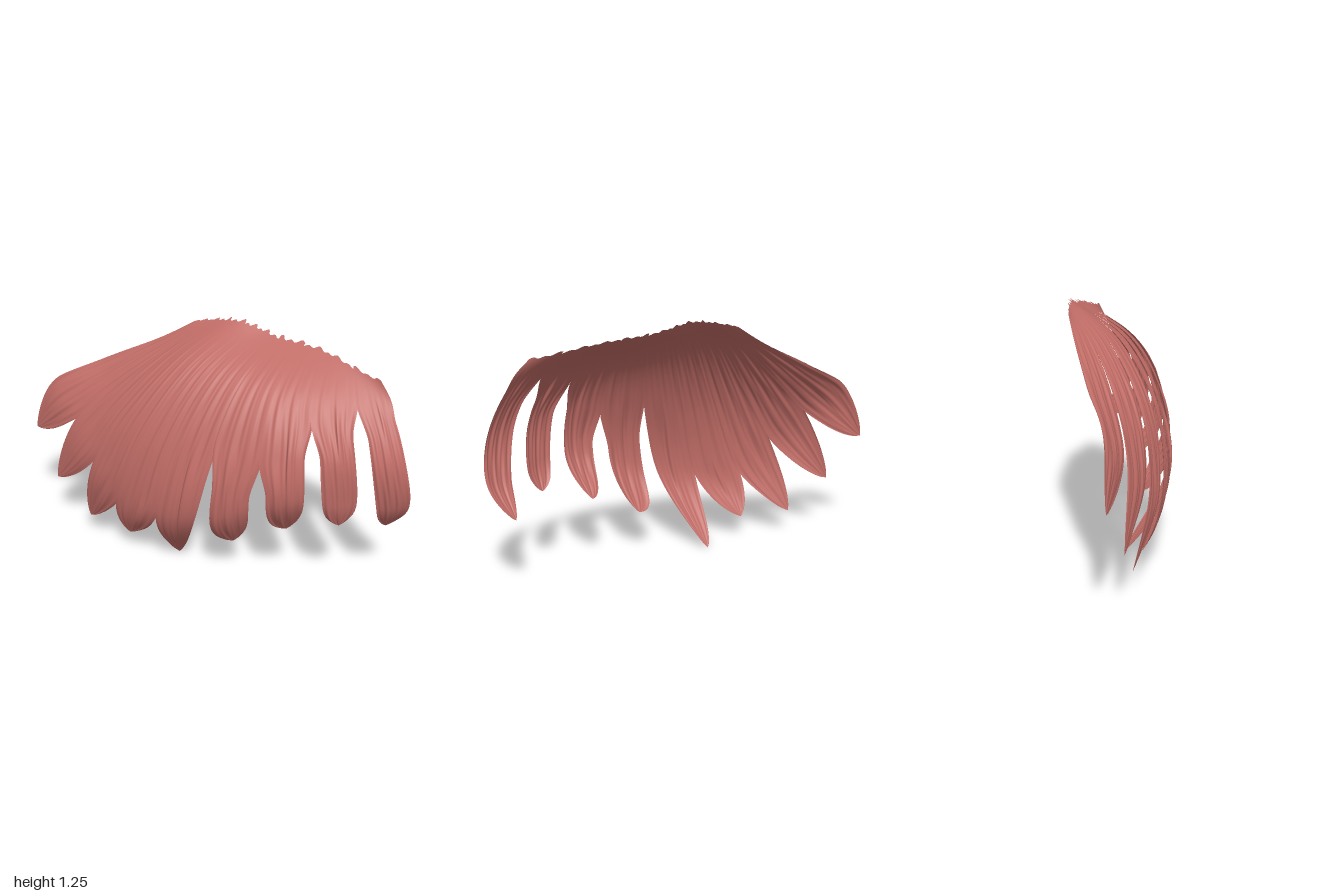
import * as THREE from 'three';

const { lerp, smoothstep } = THREE.MathUtils;
const V = (x, y, z) => new THREE.Vector3(x, y, z);
const smoothCurve = (points) => new THREE.CatmullRomCurve3(points, false, 'catmullrom', 0.5);

// Rails run from the front feather to the rear one, at even steps down the fan
const ridge = smoothCurve([V(0.275, 1.13, 0.71), V(0.3, 1.185, 0.43), V(0.265, 1.215, 0.2), V(0.235, 1.255, 0.03), V(0.19, 1.225, -0.14)]);
const shoulder = smoothCurve([V(0.19, 0.96, 0.84), V(0.03, 1.02, 0.47), V(-0.04, 1.04, 0.14), V(-0.04, 1.07, -0.12), V(0.06, 1.085, -0.33)]);
const middle = smoothCurve([V(0.145, 0.75, 0.93), V(-0.1, 0.8, 0.53), V(-0.22, 0.73, 0.08), V(-0.23, 0.78, -0.27), V(-0.07, 0.92, -0.56)]);
const lower = smoothCurve([V(0.19, 0.53, 0.945), V(-0.12, 0.56, 0.545), V(-0.27, 0.35, 0.02), V(-0.295, 0.45, -0.42), V(-0.18, 0.75, -0.78)]);
const tips = smoothCurve([
  V(0.275, 0.36, 0.88), V(0.055, 0.42, 0.74), V(-0.01, 0.34, 0.49),
  V(-0.1, 0.22, 0.24), V(-0.08, 0, -0.12), V(-0.22, 0.11, -0.34),
  V(-0.23, 0.12, -0.61), V(-0.24, 0.29, -0.83), V(-0.2, 0.53, -1),
]);
const RAILS = [ridge, shoulder, middle, lower, tips];

// How far down the notch lies on each side of the feathers, front to rear
const NOTCHES = [0.1, 0.22, 0.36, 0.55, 0.48, 0.72, 0.78, 0.69, 0.69, 0.72];
const LAST = NOTCHES.length - 2;

// Point on a rail; beyond either end it continues by reflection
function railPoint(rail, u) {
  const end = u < 0 ? 0 : LAST;
  if (u >= 0 && u <= LAST) return rail.getPoint(u / LAST);
  return rail.getPoint(end / LAST).multiplyScalar(2).sub(rail.getPoint((2 * end - u) / LAST));
}

// Fan surface: u counts feathers from the front, v goes from ridge to tip
const fan = (u, v) => smoothCurve(RAILS.map((rail) => railPoint(rail, u))).getPoint(v);

function fanNormal(u, v) {
  const e = 0.01;
  const du = fan(u + e, v).sub(fan(u - e, v));
  const dv = fan(u, Math.min(v + e, 1)).sub(fan(u, Math.max(v - e, 0)));
  return du.cross(dv).normalize();
}

// Fine barbs running along a feather
function barbs(s, v, index) {
  const bend = 1.6 * Math.sin(v * 5 + index);
  return 0.6 * Math.sin(s * 19 + bend + index * 2.1)
    + 0.4 * Math.sin(s * 37 - bend * 1.4 + index * 4.7)
    + 0.15 * Math.sin(s * 61 + v * 4 + index);
}

function featherGeometry(index) {
  const narrow = index < 4 ? 0.7 : 1; // front feathers stand apart
  const blunt = index < 4 ? 6 : 1.7;
  const across = 48, along = 64;
  const positions = [], faces = [];
  for (let j = 0; j <= along; j++) {
    for (let k = 0; k <= across; k++) {
      const s = k / across - 0.5;
      const notch = NOTCHES[s < 0 ? index : index + 1];
      // slightly ragged ridge
      const start = 0.012 * (1 + Math.sin(s * 11 + index * 3) * Math.sin(s * 5 + index));
      const v = lerp(start, 1, j / along);
      // full width above the notch, then narrowing to the tip
      const free = smoothstep(v, notch - 0.04, notch + 0.16);
      const t = Math.min(1, Math.max(0, (v - notch) / (1 - notch)));
      const taper = (1 - t ** blunt) ** 0.8;
      const u = index + s * lerp(1.06, narrow, free) * taper;
      // arch, shingled overlap and barbs, fading in from the ridge
      const fade = smoothstep(v, 0.05, 0.5) * taper;
      const lift = fade * (0.014 * (1 - 4 * s * s) * free + 0.014 * s + 0.0045 * barbs(s, v, index));
      const p = fan(u, v).addScaledVector(fanNormal(u, v), lift);
      positions.push(p.x, p.y, p.z);
      if (j < along && k < across) {
        const a = j * (across + 1) + k, b = a + across + 1;
        faces.push(a, a + 1, b, a + 1, b + 1, b);
      }
    }
  }
  const geometry = new THREE.BufferGeometry();
  geometry.setAttribute('position', new THREE.Float32BufferAttribute(positions, 3));
  geometry.setIndex(faces);
  geometry.computeVertexNormals();
  return geometry;
}

export function createModel() {
  const group = new THREE.Group();
  group.name = 'featherFan';
  const rose = new THREE.MeshStandardMaterial({ color: 0xc06c66, side: THREE.DoubleSide });
  rose.name = 'dustyRose';
  for (let i = 0; i <= LAST; i++) {
    const feather = new THREE.Mesh(featherGeometry(i), rose);
    feather.name = `feather${i + 1}`;
    group.add(feather);
  }
  return group;
}
